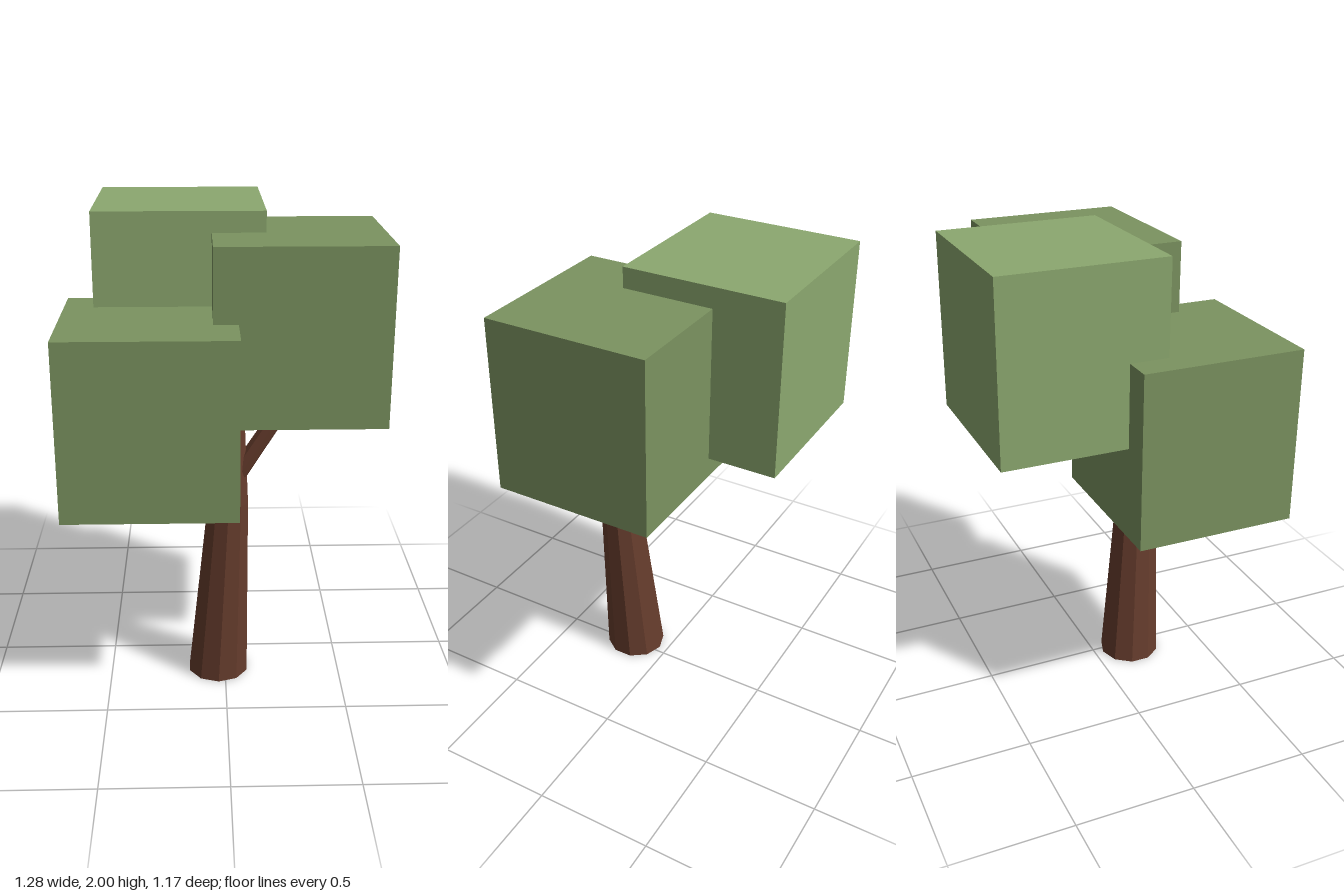
import * as THREE from 'three';

const bark = new THREE.MeshStandardMaterial({ color: 0x673d2d, flatShading: true });
const leaf = new THREE.MeshStandardMaterial({ color: 0x7b9360 });
const lightLeaf = new THREE.MeshStandardMaterial({ color: 0x8ca86f });

// Faceted limb: level rings given as [x, y, z, radius], from bottom to top
function limb(name, rings, sides) {
  const n = rings.length - 1;
  const geo = new THREE.CylinderGeometry(1, 1, 1, sides, n);
  const pos = geo.attributes.position;
  for (let i = 0; i < pos.count; i++) {
    const [x, y, z, r] = rings[Math.round((pos.getY(i) + 0.5) * n)];
    pos.setXYZ(i, x + pos.getX(i) * r, y, z + pos.getZ(i) * r);
  }
  geo.computeVertexNormals();
  const mesh = new THREE.Mesh(geo, bark);
  mesh.name = name;
  return mesh;
}

function foliage(name, x, y, z, material) {
  const mesh = new THREE.Mesh(new THREE.BoxGeometry(0.69, 0.72, 0.665), material);
  mesh.name = name;
  mesh.position.set(x, y, z);
  return mesh;
}

export function createModel() {
  const tree = new THREE.Group();
  tree.name = 'tree';

  // Tapering, leaning trunk that runs up into the foliage
  tree.add(limb('trunk', [
    [-0.03, 0, 0.17, 0.132],
    [0.012, 0.83, 0.215, 0.086],
    [0.02, 1.2, 0.225, 0.06],
    [0.0, 1.4, 0.2, 0.04],
  ], 10));

  // Side branches into the two lower blocks
  tree.add(limb('leftBranch', [
    [0.03, 0.92, 0.225, 0.045],
    [0.205, 1.2, 0.23, 0.04],
    [0.27, 1.3, 0.23, 0.035],
  ], 8));
  tree.add(limb('rightBranch', [
    [-0.005, 0.83, 0.225, 0.05],
    [-0.13, 1.1, 0.25, 0.035],
  ], 8));

  // Foliage blocks
  tree.add(foliage('backFoliage', -0.18, 1.64, -0.253, lightLeaf));
  tree.add(foliage('leftFoliage', 0.295, 1.555, 0.032, leaf));
  tree.add(foliage('rightFoliage', -0.298, 1.26, 0.253, leaf));
  return tree;
}
